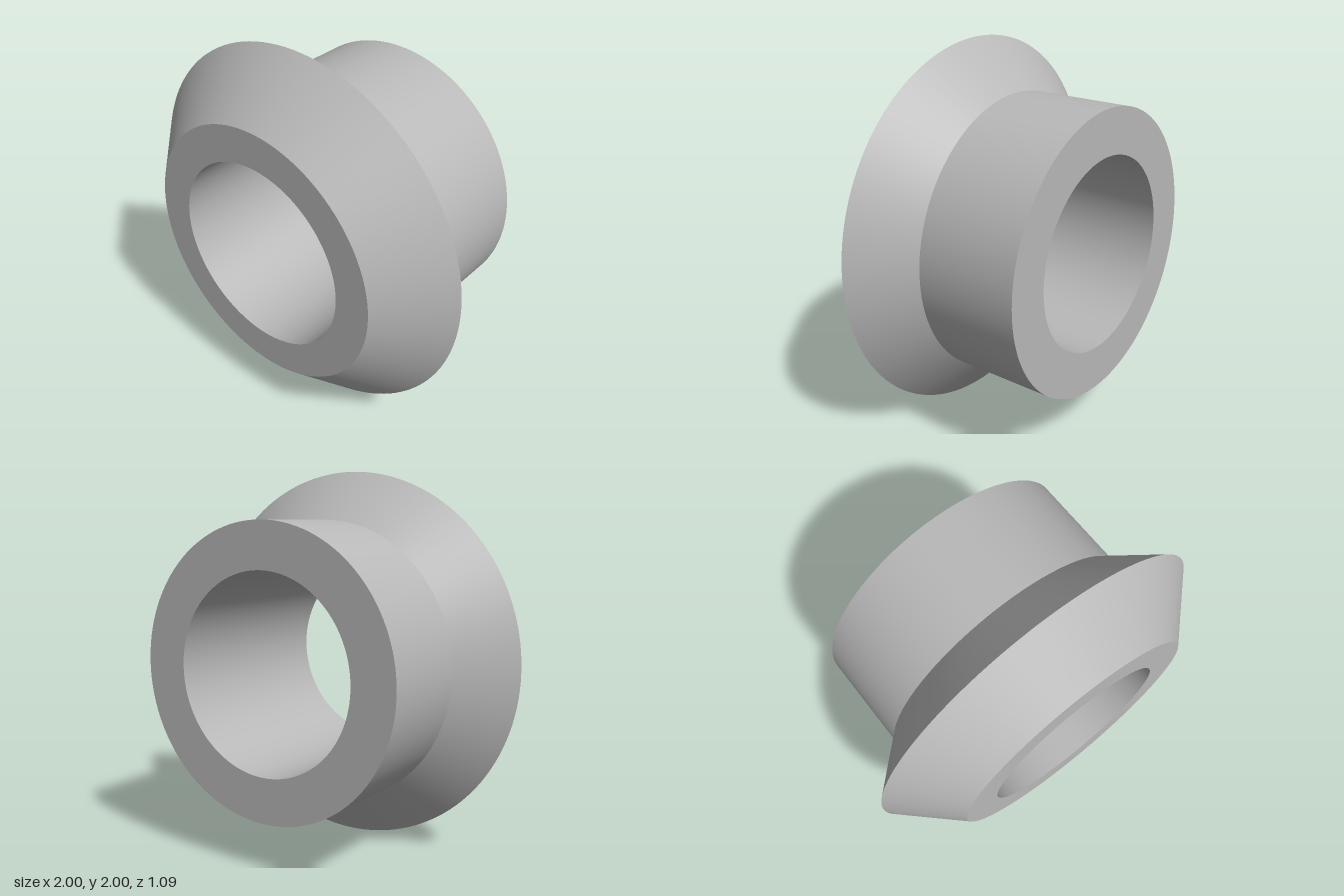
import * as THREE from 'three';

const SEGMENTS = 128;

export function createModel() {
  const model = new THREE.Group();
  model.name = 'flangedBushing';
  const metal = new THREE.MeshStandardMaterial({ color: 0xb8b8b8 });
  metal.name = 'grey metal';

  // Profile corners as [radius, z], running round the solid section
  const backInner = [0.508, -0.547];
  const backOuter = [0.745, -0.547];
  const neck = [0.745, 0];
  const rim = [1, 0.25];
  const frontOuter = [0.7, 0.547];
  const frontInner = [0.508, 0.547];

  // Each band is its own lathe, so the edges between bands stay sharp
  const bands = [
    ['backFace', backInner, backOuter],
    ['sleeve', backOuter, neck],
    ['rearBevel', neck, rim],
    ['frontBevel', rim, frontOuter],
    ['frontFace', frontOuter, frontInner],
    ['bore', frontInner, backInner],
  ];
  for (const [name, from, to] of bands) {
    const profile = [from, to].map(([r, z]) => new THREE.Vector2(r, z));
    const geometry = new THREE.LatheGeometry(profile, SEGMENTS);
    geometry.rotateX(Math.PI / 2); // lathe axis to z
    geometry.translate(0, 1, 0);
    const mesh = new THREE.Mesh(geometry, metal);
    mesh.name = name;
    model.add(mesh);
  }
  return model;
}
